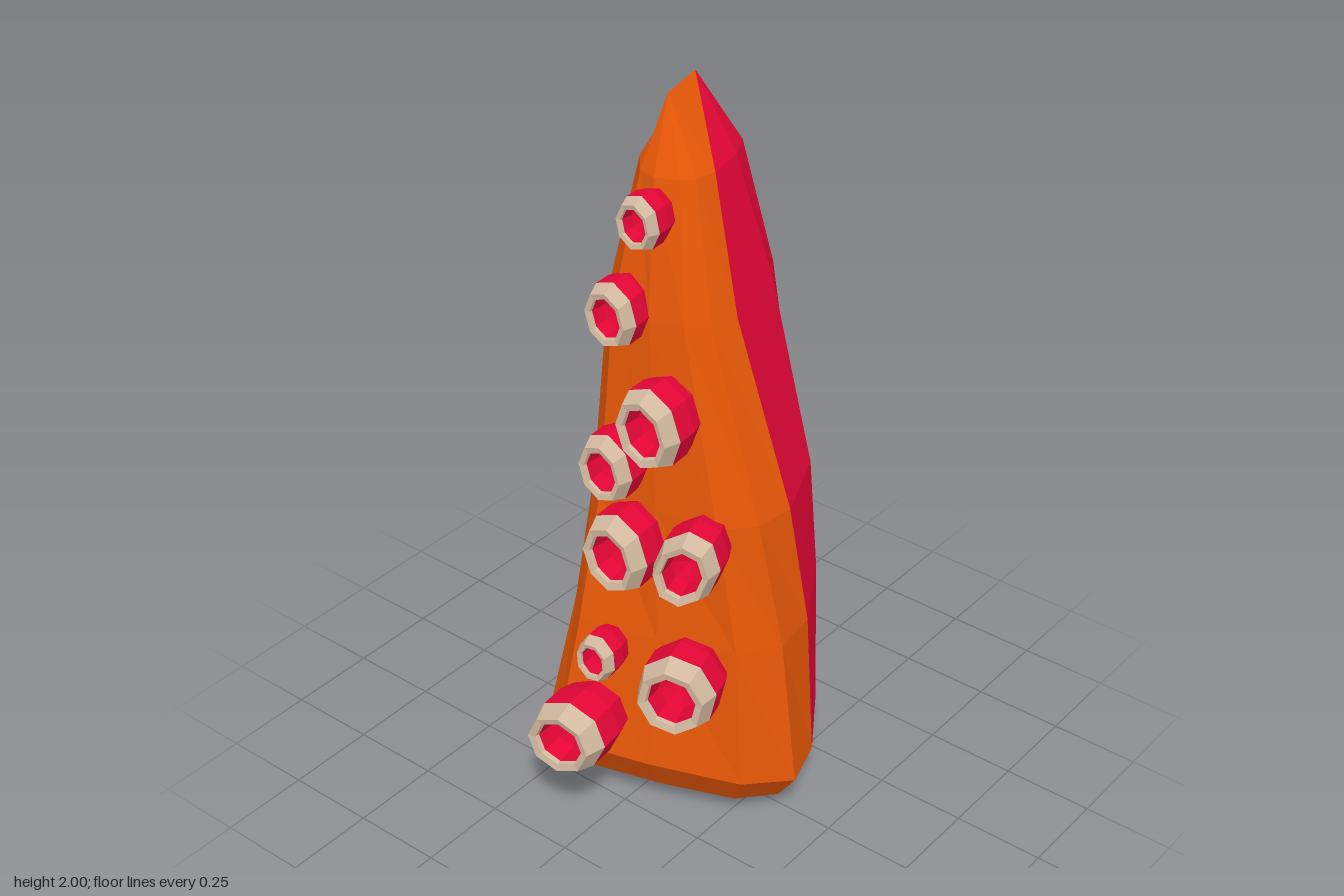
import * as THREE from 'three';

const crimson = new THREE.MeshStandardMaterial({ color: 0xe80637 });
crimson.name = 'crimson skin';
const orange = new THREE.MeshStandardMaterial({ color: 0xe65707 });
orange.name = 'orange underside';
const beige = new THREE.MeshStandardMaterial({ color: 0xd2b99f });
beige.name = 'beige rim';

// Outlines [x, z] from the +x colour border round the front, then the back.
// Columns 0-5 bound the orange face, the rest the crimson back.
const OUTLINES = [
  [[.36, -.11], [.42, .05], [.33, .17], [.1, .27], [-.15, .35], [-.25, .27],
    [-.38, .03], [-.42, -.24], [-.28, -.44], [-.03, -.49], [.1, -.42], [.22, -.32]],
  [[.345, -.09], [.36, .04], [.295, .15], [.09, .22], [-.12, .28], [-.2, .2],
    [-.25, .02], [-.255, -.18], [-.175, -.36], [-.03, -.425], [.1, -.385], [.22, -.3]],
  [[.315, -.04], [.3, .07], [.23, .15], [.06, .185], [-.11, .2], [-.18, .14],
    [-.2, -.02], [-.2, -.19], [-.125, -.335], [-.01, -.39], [.1, -.35], [.225, -.25]],
  [[.17, 0], [.15, .075], [.1, .12], [.01, .145], [-.1, .15], [-.165, .09],
    [-.18, -.05], [-.185, -.18], [-.13, -.275], [-.02, -.32], [.06, -.29], [.125, -.205]],
  [[.075, -.03], [.065, .03], [.04, .06], [-.02, .085], [-.07, .075], [-.125, .01],
    [-.14, -.07], [-.135, -.14], [-.1, -.215], [-.04, -.24], [.015, -.215], [.055, -.14]],
];
const HEIGHTS = [.15, .57, .93, 1.45, 1.8];
const ORANGE_COLUMNS = 5;

// One lengthwise edge of the tentacle, from the middle of the base to the tip
function columnPoints(i) {
  const [baseX, baseZ] = OUTLINES[0][i];
  const baseRing = (scale, y) =>
    new THREE.Vector3(.03 + (baseX - .03) * scale, y, -.1 + (baseZ + .1) * scale);
  const points = [
    new THREE.Vector3(.03, 0, -.1),
    baseRing(.5, .01 + Math.max(0, baseZ) * .06),
    baseRing(.81, .047 + baseZ * .08),
  ];
  OUTLINES.forEach((ring, k) => {
    const [x, z] = ring[i];
    points.push(new THREE.Vector3(x, HEIGHTS[k] + (k === 0 ? z * .14 : 0), z));
  });
  const frontTip = i > 0 && i < ORANGE_COLUMNS;
  points.push(frontTip ? new THREE.Vector3(-.045, 1.98, 0) : new THREE.Vector3(-.05, 2, -.11));
  return points;
}

// The orange face stops short of the cap under the base
const isOrange = (column, row) => column < ORANGE_COLUMNS && row > 0;

// Flat-faced skin over the cells of the chosen colour
function skin(columns, wantOrange, material, name) {
  const positions = [];
  const addTriangle = (a, b, c) => {
    if (new THREE.Triangle(a, b, c).getArea() < 1e-7) return;
    for (const p of [a, b, c]) positions.push(p.x, p.y, p.z);
  };
  columns.forEach((right, i) => {
    const left = columns[(i + 1) % columns.length];
    for (let r = 0; r < right.length - 1; r++) {
      if (isOrange(i, r) !== wantOrange) continue;
      addTriangle(right[r], right[r + 1], left[r + 1]);
      addTriangle(right[r], left[r + 1], left[r]);
    }
  });
  const geometry = new THREE.BufferGeometry();
  geometry.setAttribute('position', new THREE.Float32BufferAttribute(positions, 3));
  geometry.computeVertexNormals();
  const mesh = new THREE.Mesh(geometry, material);
  mesh.name = name;
  return mesh;
}

// Eight-sided turned part pointing along +z, with flat faces
function turned(profile) {
  const points = profile.map(([r, h]) => new THREE.Vector2(r, h));
  const geometry = new THREE.LatheGeometry(points, 8, Math.PI / 8).toNonIndexed();
  geometry.rotateX(Math.PI / 2);
  geometry.computeVertexNormals();
  return geometry;
}

const wallGeometry = turned([[.86, -1.75], [1, -1.2], [1, -.52]]);
const rimGeometry = turned([[1, -.52], [.82, 0], [.64, -.04], [.61, -.16]]);
const cupGeometry = turned([[.61, -.16], [.54, -.7], [0, -.9]]);

// x, y, z of the mouth, half width, half height, roll, outward direction x, y
const SUCKERS = [
  [.005, 1.72, .197, .056, .072, .25, .1, .04],
  [-.045, 1.475, .247, .066, .088, .3, .12, .04],
  [.105, 1.23, .297, .082, .11, .35, .12, .05],
  [-.02, 1.075, .307, .07, .094, .3, .12, .04],
  [.03, .855, .34, .085, .11, .35, .12, .05],
  [.24, .88, .31, .085, .108, -.35, .34, .06],
  [-.01, .53, .365, .055, .068, .1, .12, .05],
  [.235, .505, .347, .108, .11, -.2, .34, .08],
  [-.03, .322, .483, .114, .102, .4, .12, .02],
];

function sucker([x, y, z, halfWidth, halfHeight, roll, dx, dy]) {
  const group = new THREE.Group();
  group.name = 'sucker';
  const parts = [
    ['suckerWall', wallGeometry, crimson],
    ['suckerRim', rimGeometry, beige],
    ['suckerCup', cupGeometry, crimson],
  ];
  for (const [name, geometry, material] of parts) {
    const mesh = new THREE.Mesh(geometry, material);
    mesh.name = name;
    group.add(mesh);
  }
  group.position.set(x, y, z);
  group.lookAt(x + dx, y + dy, z + 1);
  group.rotateZ(roll);
  group.scale.set(halfWidth, halfHeight, (halfWidth + halfHeight) / 2);
  return group;
}

export function createModel() {
  const model = new THREE.Group();
  model.name = 'tentacle';
  const columns = OUTLINES[0].map((_, i) => columnPoints(i));
  model.add(skin(columns, true, orange, 'underside'));
  model.add(skin(columns, false, crimson, 'back'));
  for (const spec of SUCKERS) model.add(sucker(spec));
  return model;
}
